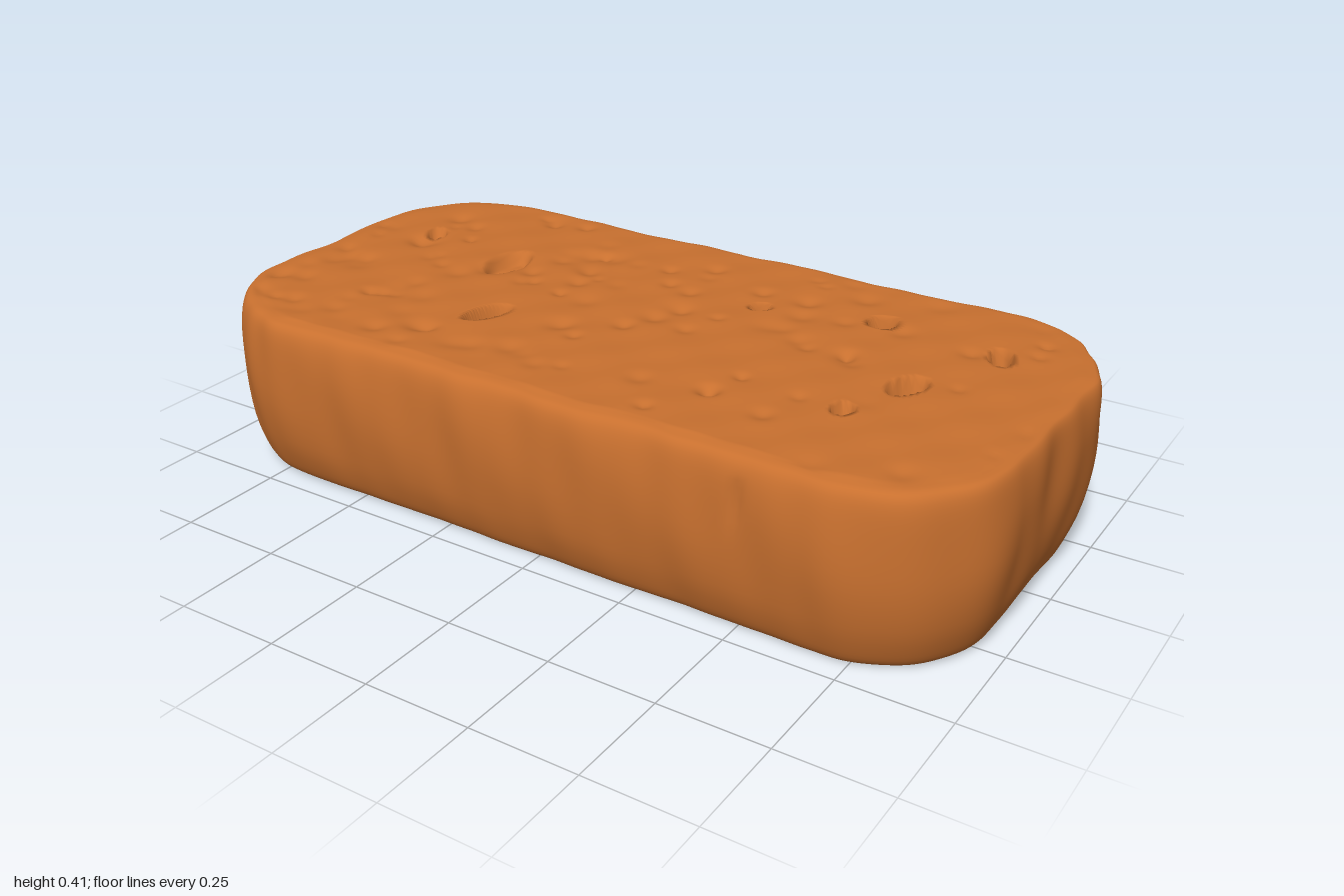
import * as THREE from 'three';

const AROUND = 400, SIDE_RINGS = 26, TOP_RINGS = 100, HEIGHT = 0.405;

// Seeded random numbers for the crumb texture
function seeded(seed) {
  return () => {
    seed = (seed * 1664525 + 1013904223) % 4294967296;
    return seed / 4294967296;
  };
}

// Rounded oblong seen from above, as evenly spaced points with outward normals
function makeOutline() {
  const w = 0.985, d = 0.493, r = 0.29, s = new THREE.Shape();
  s.absarc(w - r, d - r, r, 0, Math.PI / 2);
  s.absarc(r - w, d - r, r, Math.PI / 2, Math.PI);
  s.absarc(r - w, r - d, r, Math.PI, Math.PI * 1.5);
  s.absarc(w - r, r - d, r, Math.PI * 1.5, Math.PI * 2);
  s.closePath();
  const pts = s.getSpacedPoints(AROUND).slice(0, AROUND);
  // ends bow out slightly
  pts.forEach(p => { p.x += Math.sign(p.x) * 0.035 * (0.1 - p.y * p.y) * Math.abs(p.x); });
  return pts.map((p, i) => {
    const t = pts[(i + 1) % AROUND].clone().sub(pts[(i + AROUND - 1) % AROUND]).normalize();
    return { x: p.x, z: p.y, nx: t.y, nz: -t.x };
  });
}

// Inset from the outline (x) at each height (y), bottom to top
const profile = new THREE.CatmullRomCurve3([
  [0.058, 0], [0.045, 0.012], [0.03, 0.045], [0.014, 0.1], [0.002, 0.19],
  [0.001, 0.28], [0.008, 0.35], [0.018, 0.385], [0.03, 0.4], [0.045, HEIGHT],
].map(([inset, y]) => new THREE.Vector3(inset, y, 0)));

// Open pits in the top: x, z, half width, half length, turn, depth
const pits = [
  [-0.77, -0.18, 0.024, 0.028, 0, 0.03], [-0.49, -0.12, 0.042, 0.075, 0.1, 0.03],
  [-0.33, 0.17, 0.03, 0.065, 0.25, 0.05], [0.18, -0.2, 0.025, 0.025, 0, 0.03],
  [0.46, -0.27, 0.032, 0.038, 0, 0.05], [0.76, -0.23, 0.025, 0.045, -0.3, 0.05],
  [0.65, 0.01, 0.03, 0.056, 0.35, 0.05], [0.585, 0.18, 0.023, 0.03, 0.2, 0.04],
];

// Small shallow dents, denser on the -x half and near the long edges
function makeDents() {
  const rnd = seeded(7), dents = [[0.31, 0.25, 0.022, 0.02]];
  while (dents.length < 130) {
    const x = rnd() * 1.9 - 0.95, z = rnd() * 0.9 - 0.45;
    const keep = x < -0.1 || Math.abs(z) > 0.36 ? 1 : 0.35;
    const size = 0.014 + rnd() * 0.02, depth = 0.003 + rnd() * 0.007;
    if (rnd() < keep) dents.push([x, z, size, depth]);
  }
  return dents;
}

function topDrop(x, z, dents) {
  let drop = 0;
  for (const [dx, dz, size, depth] of dents) {
    const q = ((x - dx) ** 2 + (z - dz) ** 2) / (size * size);
    if (q < 6) drop += depth * Math.exp(-q);
  }
  for (const [px, pz, a, b, turn, depth] of pits) {
    const c = Math.cos(turn), s = Math.sin(turn), u = x - px, v = z - pz;
    const q = Math.hypot((u * c + v * s) / a, (v * c - u * s) / b);
    drop += depth * (1 - THREE.MathUtils.smoothstep(q, 0.65, 1.08));
  }
  return drop;
}

// Uneven baked crust: ripples running up the sides, stronger toward the top
function crust(p, y) {
  const { x, z } = p, k = 0.35 + 0.65 * y / HEIGHT;
  let n = 0.0035 * Math.sin(x * 9 + z * 13 + 1) + 0.0025 * Math.sin(x * 23 - z * 31 + y * 5)
    + 0.002 * Math.sin(x * 47 + z * 41 + y * 9 + 2) * Math.sin(x * 11 + 0.7)
    + 0.0025 * Math.sin(x * 17 + z * 21 + y * 21);
  // small scratch on the front
  if (z > 0.4) n -= 0.009 * Math.exp(-(((x - 0.51) / 0.014) ** 2) - ((y - 0.31) / 0.045) ** 4);
  return n * k;
}

function loafGeometry() {
  const outline = makeOutline(), dents = makeDents(), pos = [], index = [];
  // sides
  for (let j = 0; j <= SIDE_RINGS; j++) {
    const { x: inset, y } = profile.getPoint(j / SIDE_RINGS);
    for (const p of outline) {
      // the upper edge is tighter at the back and ends than at the front
      const tight = y > 0.28 ? 0.65 + 0.35 * p.nz : 1;
      const off = crust(p, y) - inset * tight;
      pos.push(p.x + p.nx * off, y, p.z + p.nz * off);
    }
  }
  // top, shrinking to the centre
  const rim = pos.slice(-AROUND * 3);
  for (let j = 1; j <= TOP_RINGS; j++) {
    const s = 1 - j / TOP_RINGS, fade = Math.min(1, j / 3);
    for (let i = 0; i < AROUND; i++) {
      const x = rim[i * 3] * s, z = rim[i * 3 + 2] * s;
      const bump = 0.0015 * Math.sin(x * 27 + 1) * Math.sin(z * 33 + x * 9);
      pos.push(x, HEIGHT + fade * (0.003 + bump - topDrop(x, z, dents)), z);
    }
  }
  for (let j = 0; j < SIDE_RINGS + TOP_RINGS; j++) {
    for (let i = 0; i < AROUND; i++) {
      const k = (i + 1) % AROUND, a = j * AROUND + i, b = j * AROUND + k;
      index.push(a, a + AROUND, b, b, a + AROUND, b + AROUND);
    }
  }
  // flat underside with its own corners for a sharp edge
  const first = pos.length / 3;
  pos.push(...pos.slice(0, AROUND * 3), 0, 0, 0);
  for (let i = 0; i < AROUND; i++) index.push(first + AROUND, first + i, first + (i + 1) % AROUND);

  const g = new THREE.BufferGeometry();
  g.setAttribute('position', new THREE.Float32BufferAttribute(pos, 3));
  g.setIndex(index);
  g.computeVertexNormals();
  return g;
}

export function createModel() {
  const group = new THREE.Group();
  group.name = 'breadSlab';
  const material = new THREE.MeshStandardMaterial({ color: 0xc8702f });
  material.name = 'baked brown';
  const loaf = new THREE.Mesh(loafGeometry(), material);
  loaf.name = 'loaf';
  group.add(loaf);
  return group;
}
